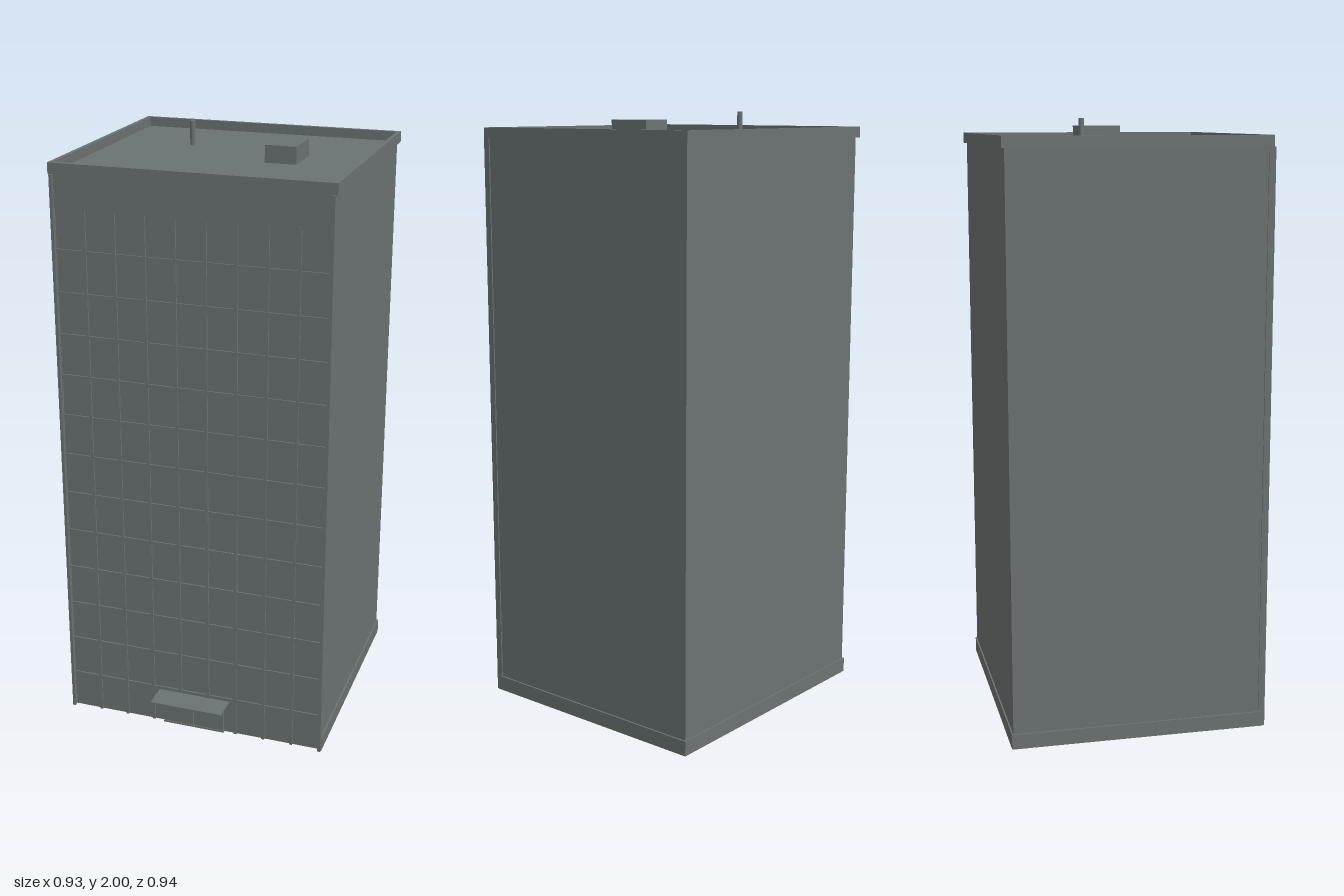
import * as THREE from 'three';

export function createModel() {
  const model = new THREE.Group();
  model.name = 'towerBlock';
  const grey = new THREE.MeshStandardMaterial({ color: 0x6b7372 });
  grey.name = 'concrete grey';

  // Box given by its minimum and maximum corners
  function box(name, x0, x1, y0, y1, z0, z1, parent = model) {
    const mesh = new THREE.Mesh(new THREE.BoxGeometry(x1 - x0, y1 - y0, z1 - z0), grey);
    mesh.position.set((x0 + x1) / 2, (y0 + y1) / 2, (z0 + z1) / 2);
    mesh.name = name;
    parent.add(mesh);
    return mesh;
  }

  // Main volume and roof deck
  box('body', -0.453, 0.453, 0, 1.918, -0.458, 0.376);

  // Parapet: a square ring standing round the roof
  const ring = new THREE.Shape([
    new THREE.Vector2(-0.463, -0.385), new THREE.Vector2(0.463, -0.385),
    new THREE.Vector2(0.463, 0.468), new THREE.Vector2(-0.463, 0.468),
  ]);
  ring.holes.push(new THREE.Path([
    new THREE.Vector2(-0.449, -0.371), new THREE.Vector2(-0.449, 0.454),
    new THREE.Vector2(0.449, 0.454), new THREE.Vector2(0.449, -0.371),
  ]));
  const parapetShape = new THREE.ExtrudeGeometry(ring, { depth: 0.036, bevelEnabled: false });
  parapetShape.rotateX(-Math.PI / 2);
  const parapet = new THREE.Mesh(parapetShape, grey);
  parapet.position.y = 1.914;
  parapet.name = 'parapet';
  model.add(parapet);

  // Plinth along the sides and back, corner fins up the front
  box('backPlinth', -0.459, 0.459, 0, 0.05, -0.463, -0.45);
  for (const s of [-1, 1]) {
    const x = s * 0.454;
    box('sidePlinth', x - 0.005, x + 0.005, 0, 0.05, -0.463, 0.385);
    box('cornerFin', s * 0.452 - 0.005, s * 0.452 + 0.005, 0, 1.914, 0.37, 0.392);
  }

  // Facade grid: slab edges and mullions
  const facade = new THREE.Group();
  facade.name = 'facadeGrid';
  model.add(facade);
  const storeys = 13, bays = 9, pitch = 0.14, firstSlab = 0.13;
  for (let i = 0; i < storeys; i++) {
    const y = firstSlab + i * pitch;
    box('slabEdge', -0.448, 0.448, y - 0.006, y + 0.006, 0.37, 0.381, facade);
  }
  for (let i = 1; i < bays; i++) {
    const x = -0.45 + i * 0.1;
    box('mullion', x - 0.005, x + 0.005, 0, firstSlab + (storeys - 1) * pitch, 0.37, 0.383, facade);
  }
  box('topBand', -0.448, 0.448, 1.81, 1.914, 0.37, 0.381, facade);

  // Entrance
  box('canopy', -0.127, 0.127, 0.117, 0.125, 0.37, 0.468);
  box('doorStep', -0.11, 0.11, 0, 0.006, 0.37, 0.388);
  for (const s of [-1, 1]) {
    box('doorLeaf', s * 0.055 - 0.052, s * 0.055 + 0.052, 0.006, 0.11, 0.37, 0.385);
  }

  // Roof equipment
  box('roofHousing', 0.13, 0.235, 1.91, 1.975, -0.115, 0.03);
  const vent = new THREE.Mesh(new THREE.CylinderGeometry(0.009, 0.009, 0.09, 16), grey);
  vent.position.set(-0.185, 1.955, -0.17);
  vent.name = 'ventPipe';
  model.add(vent);

  return model;
}
